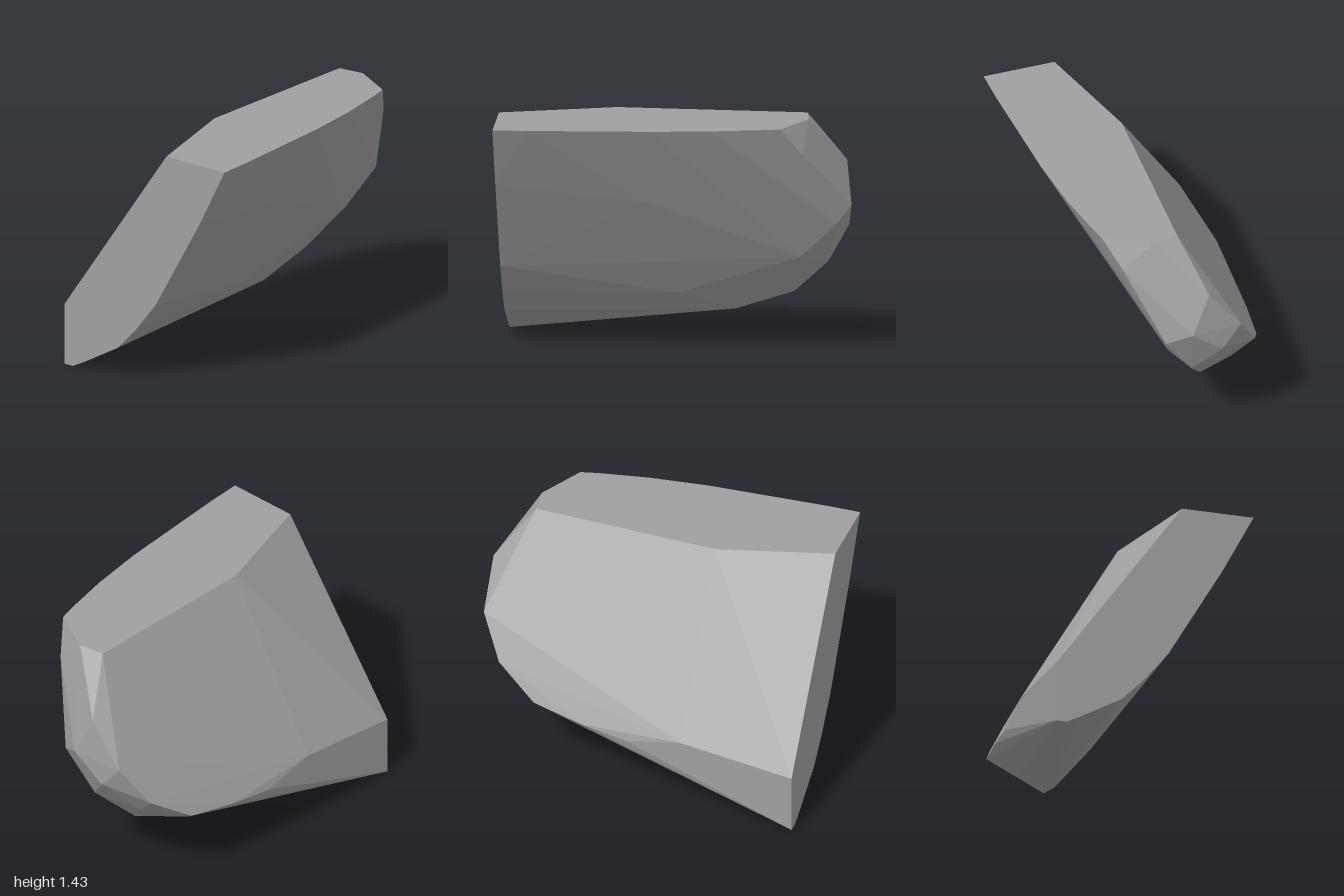
import * as THREE from 'three';
import { ConvexGeometry } from 'three/addons/geometries/ConvexGeometry.js';

const v = (x, y, z) => new THREE.Vector3(x, y, z);

export function createModel() {
  const group = new THREE.Group();
  group.name = 'leaningRock';
  const stone = new THREE.MeshStandardMaterial({ color: 0xa0a0a0, flatShading: true });
  stone.name = 'stone grey';
  const top = 1.43, back = -0.59;

  // Flat cut end, as y, z
  const cutEnd = [
    [top, 0.585], [1.07, 0.4], [0.51, 0.08], [0.32, -0.07], [0.185, -0.2],
    [0.04, -0.45], [0, -0.53], [0, back], [0.36, back], [top, 0.16],
  ].map(([y, z]) => v(-1, y, z));

  // Level top outline, as x, z
  const topOutline = [
    [-0.8, 0.58], [-0.1, 0.54], [0.24, 0.5], [0.53, 0.445], [0.63, 0.42],
    [0.77, 0.16], [0.75, 0.005], [-0.34, -0.025],
  ].map(([x, z]) => v(x, top, z));

  // Chipped round nose and underside
  const nose = [
    v(0.75, 1.26, 0.33), v(0.965, 1.13, -0.115), v(1, 0.89, -0.005),
    v(0.925, 0.81, 0.13), v(0.97, 0.73, -0.19), v(0.865, 0.55, -0.04),
    v(0.71, 0.59, 0.05), v(0.66, 0.34, -0.16), v(0.32, 0.22, -0.2),
    v(0, 0.335, -0.08), v(0.44, 0.32, -0.37), v(0.77, 0.505, -0.31),
  ];

  // Rear rim, with the vertical back facet
  const rear = [
    v(0.955, 0.87, -0.31), v(0.82, 0.635, -0.435), v(0.58, 0.47, -0.525),
    v(0.27, 0.42, -0.57), v(0, 0.385, back), v(-0.33, 0.45, back),
  ];

  // Slight swell of the front face
  const front = [v(-0.15, 0.955, 0.3), v(0.4, 0.96, 0.26)];

  const rock = new THREE.Mesh(
    new ConvexGeometry([...cutEnd, ...topOutline, ...nose, ...rear, ...front]), stone);
  rock.name = 'rockSlab';
  group.add(rock);
  return group;
}
